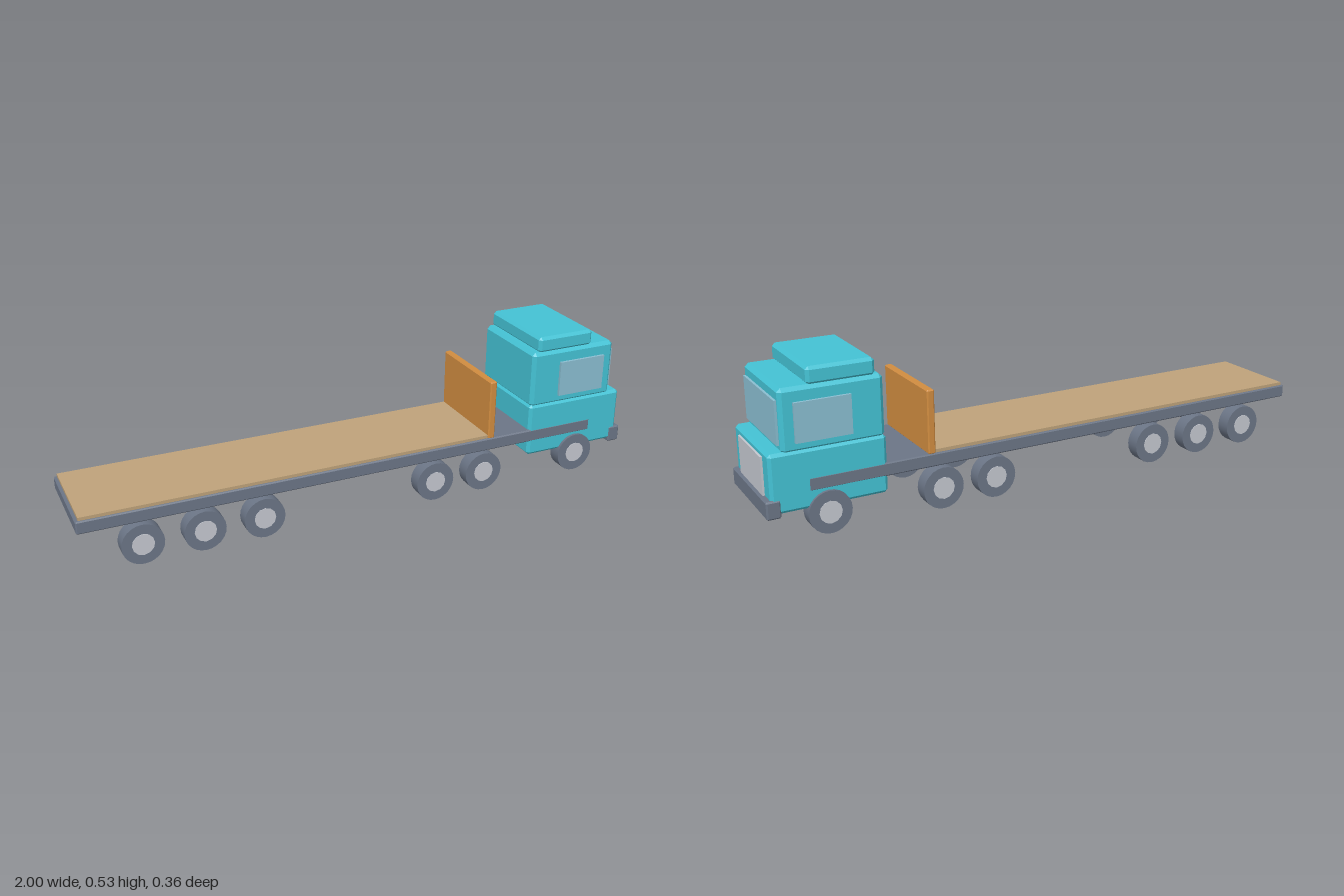
import * as THREE from 'three';
import { ConvexGeometry } from 'three/addons/geometries/ConvexGeometry.js';

const paint = (name, color) => new THREE.MeshStandardMaterial({ name, color });

// Box with every edge cut by a flat chamfer c, given by its [min, max] extents
function chamferBox([x0, x1], [y0, y1], [z0, z1], c) {
  const pts = [];
  const half = [(x1 - x0) / 2, (y1 - y0) / 2, (z1 - z0) / 2];
  for (const sx of [-1, 1]) for (const sy of [-1, 1]) for (const sz of [-1, 1]) {
    const s = [sx, sy, sz];
    for (let full = 0; full < 3; full++) {
      const p = s.map((sign, i) => sign * (half[i] - (i === full ? 0 : c)));
      pts.push(new THREE.Vector3(...p));
    }
  }
  return new ConvexGeometry(pts).translate((x0 + x1) / 2, (y0 + y1) / 2, (z0 + z1) / 2);
}

// Plain box from [min, max] extents
function plainBox([x0, x1], [y0, y1], [z0, z1]) {
  return new THREE.BoxGeometry(x1 - x0, y1 - y0, z1 - z0)
    .translate((x0 + x1) / 2, (y0 + y1) / 2, (z0 + z1) / 2);
}

export function createModel() {
  const teal = paint('cabTeal', 0x44c2d4);
  const steel = paint('chassisGrey', 0x6b7586);
  const glass = paint('windowGlass', 0x8abdd0);
  const silver = paint('lightGrey', 0xc4c7cf);
  const tan = paint('deckTan', 0xbea27a);
  const orange = paint('boardOrange', 0xd08c40);

  const model = new THREE.Group();
  model.name = 'flatbedTruck';
  const add = (name, geometry, material, parent = model) => {
    const mesh = new THREE.Mesh(geometry, material);
    mesh.name = name;
    parent.add(mesh);
    return mesh;
  };
  const across = (h) => [-h, h];

  // Load bed
  add('chassis', chamferBox([-1, 0.86], [0.145, 0.189], across(0.168), 0.004), steel);
  add('deck', plainBox([-0.99, 0.445], [0.187, 0.2], across(0.161)), tan);
  add('headboard', chamferBox([0.44, 0.465], [0.187, 0.4], across(0.166), 0.004), orange);

  // Cab
  const cab = new THREE.Group();
  cab.name = 'cab';
  model.add(cab);
  add('lowerCab', chamferBox([0.605, 0.98], [0.09, 0.282], across(0.167), 0.01), teal, cab);
  add('upperCab', chamferBox([0.607, 0.937], [0.274, 0.477], across(0.165), 0.012), teal, cab);
  add('roofFairing', chamferBox([0.63, 0.847], [0.473, 0.53], across(0.161), 0.01), teal, cab);
  add('windscreen', plainBox([0.936, 0.945], [0.3, 0.44], across(0.148)), glass, cab);
  for (const [side, z] of [['left', 0.1695], ['right', -0.1695]]) {
    add(side === 'left' ? 'frontSideWindow' : 'rearSideWindow',
      plainBox([0.715, 0.895], [0.306, 0.432], [z - 0.0048, z + 0.0048]), glass, cab);
  }
  add('grille', plainBox([0.979, 0.987], [0.1, 0.262], across(0.111)), silver, cab);
  add('bumper', chamferBox([0.95, 0.996], [0.079, 0.138], across(0.17), 0.005), steel, cab);

  // Wheels: a tyre with a hub that stands slightly proud on both faces
  const tyreGeometry = new THREE.CylinderGeometry(0.07, 0.07, 0.049, 24).rotateX(Math.PI / 2);
  const hubGeometry = new THREE.CylinderGeometry(0.037, 0.037, 0.053, 12).rotateX(Math.PI / 2);
  for (const x of [-0.8, -0.597, -0.395, 0.23, 0.42, 0.8]) {
    for (const z of [-0.152, 0.152]) {
      const wheel = new THREE.Group();
      wheel.name = 'wheel';
      wheel.position.set(x, 0.07, z);
      add('tyre', tyreGeometry, steel, wheel);
      add('hub', hubGeometry, silver, wheel);
      model.add(wheel);
    }
  }
  return model;
}
